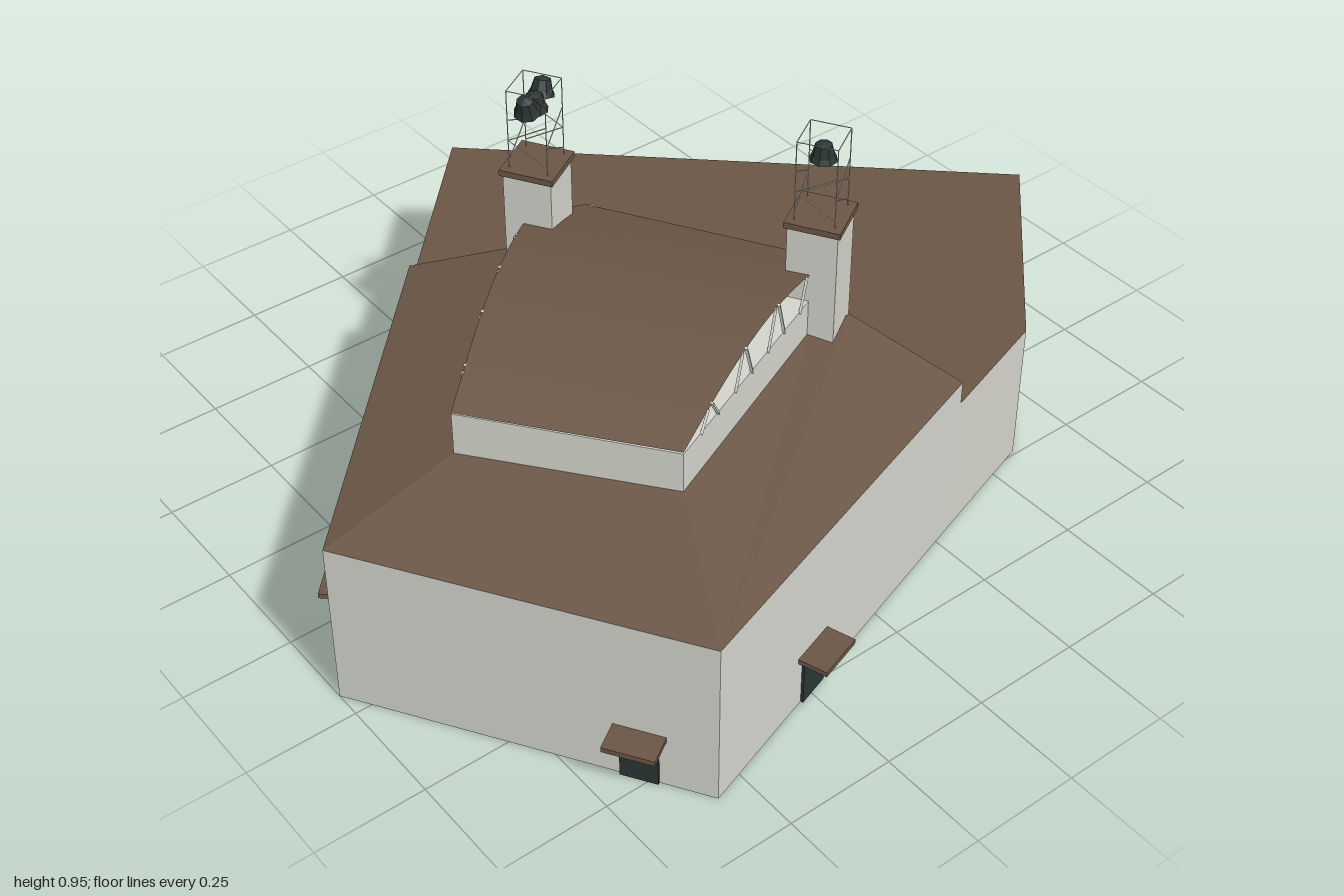
import * as THREE from 'three';

const mat = (name, color, double) => {
  const m = new THREE.MeshStandardMaterial({ color });
  m.name = name;
  m.flatShading = true;
  if (double) m.side = THREE.DoubleSide;
  return m;
};

export function createModel() {
  const model = new THREE.Group();
  model.name = 'hallBuilding';
  const wall = mat('pale plaster', 0xd2d3ca, true);
  const roof = mat('brown roof', 0x6b5646, true);
  const glass = mat('green glass', 0x5c726b);
  const dark = mat('dark metal', 0x2b3534);

  const add = (name, geometry, material, parent = model) => {
    const mesh = new THREE.Mesh(geometry, material);
    mesh.name = name;
    parent.add(mesh);
    return mesh;
  };

  // Upright prism over a plan of [x, z] points
  const prism = (name, plan, y0, y1, material) => {
    const shape = new THREE.Shape(plan.map(([x, z]) => new THREE.Vector2(x, -z)));
    const g = new THREE.ExtrudeGeometry(shape, { depth: y1 - y0, bevelEnabled: false });
    g.rotateX(-Math.PI / 2);
    g.translate(0, y0, 0);
    return add(name, g, material);
  };

  // Flat polygon of [x, y, z] points, filled as a fan
  const fan = (name, pts, material) => {
    const pos = [];
    for (let i = 1; i < pts.length - 1; i++) pos.push(...pts[0], ...pts[i], ...pts[i + 1]);
    const g = new THREE.BufferGeometry();
    g.setAttribute('position', new THREE.Float32BufferAttribute(pos, 3));
    g.computeVertexNormals();
    return add(name, g, material);
  };

  // Thin rod between two points
  const rod = (name, a, b, r, material, parent) => {
    const va = new THREE.Vector3(...a), vb = new THREE.Vector3(...b);
    const g = new THREE.CylinderGeometry(r, r, va.distanceTo(vb), 4);
    const m = add(name, g, material, parent);
    m.position.copy(va).add(vb).multiplyScalar(0.5);
    m.quaternion.setFromUnitVectors(new THREE.Vector3(0, 1, 0), vb.sub(va).normalize());
    return m;
  };

  // Plan corners
  const A = [-1, 0.19], B = [-0.57, 0.867], C = [0.31, 0.58], D = [0.59, 0.49];
  const E = [1, 0.055], F = [0.01, -0.87], G = [-0.37, -0.47];
  const P = [-0.69, 0.185], Q = [-0.41, 0.555], R = [0.18, 0.3], S = [-0.06, -0.21];
  const T = [-0.235, -0.195], R2 = [0.2, 0.345], T2 = [-0.13, -0.25];
  const at = ([x, z], y) => [x, y, z];

  // Main body, flat rear roof and taller front block
  const outline = [A, B, C, D, E, F];
  prism('mainWalls', outline, 0, 0.337, wall);
  prism('flatRoof', outline, 0.337, 0.345, [roof, wall]);
  prism('frontBlock', [A, B, C, R2, S, T2, G], 0.34, 0.4, wall);

  // Sloping roof round the hall
  fan('sideRoof', [at(A, 0.4), at(B, 0.4), at(Q, 0.48), at(P, 0.475)], roof);
  fan('frontRoof', [at(B, 0.4), at(C, 0.4), at(R2, 0.49), [0.1, 0.49, 0.335], at(Q, 0.48)], roof);
  fan('backRoof', [at(G, 0.4), at(A, 0.4), at(P, 0.475), at(T2, 0.49)], roof);
  fan('roofGable', [at(C, 0.4), at(R2, 0.4), at(R2, 0.49)], wall);

  // Raised hall
  prism('hallWalls', [P, Q, R, S, T], 0.34, 0.575, wall);

  // Vaulted hall roof: height depends on the distance from the side eave
  const vaultY = ([x, z]) => {
    const d = (x - P[0]) * 0.8 - (z - P[1]) * 0.59;
    return 0.577 + 0.083 * Math.sin(Math.PI * THREE.MathUtils.clamp(d / 0.74, 0, 1));
  };
  const mix = (a, b, t) => [a[0] + (b[0] - a[0]) * t, a[1] + (b[1] - a[1]) * t];
  const backEdge = t => t < 0.78 ? mix(P, T, t / 0.78) : mix(T, [-0.075, -0.21], (t - 0.78) / 0.22);
  const frontEdge = t => mix(Q, R, t);
  const steps = 14, pos = [], idx = [];
  for (let i = 0; i <= steps; i++) {
    for (const p of [backEdge(i / steps), frontEdge(i / steps)]) pos.push(...at(p, vaultY(p)));
    if (i < steps) idx.push(2 * i, 2 * i + 1, 2 * i + 3, 2 * i, 2 * i + 3, 2 * i + 2);
  }
  const vault = new THREE.BufferGeometry();
  vault.setAttribute('position', new THREE.Float32BufferAttribute(pos, 3));
  vault.setIndex(idx);
  vault.computeVertexNormals();
  add('vaultRoof', vault, roof);

  // Slanting struts in the open ends of the vault
  for (const edge of [frontEdge, t => backEdge(t * 0.78)]) {
    for (let i = 1; i < 9; i++) {
      const foot = edge(i / 9), head = edge((i + (i % 2 ? 0.4 : -0.4)) / 9);
      rod('vaultStrut', at(foot, 0.57), at(head, vaultY(head)), 0.004, wall);
    }
  }

  // Box set on the wall from p to q, at fraction t along it
  const onWall = (name, [p, q], t, y, [w, h, d], material) => {
    const dx = q[0] - p[0], dz = q[1] - p[1], len = Math.hypot(dx, dz);
    const [x, z] = mix(p, q, t);
    const m = add(name, new THREE.BoxGeometry(w, h, d), material);
    m.position.set(x - dz / len * d / 2, y, z + dx / len * d / 2);
    m.rotation.y = Math.atan2(-dz, dx);
  };

  // Two rows of windows on the rear walls
  for (const y of [0.081, 0.236]) {
    for (const t of [0.052, 0.173, 0.289, 0.402, 0.516, 0.632, 0.774, 0.926])
      onWall('window', [E, F], t, y, [0.115, 0.072, 0.004], glass);
    for (const t of [0.064, 0.193, 0.318])
      onWall('window', [F, A], t, y, [0.12, 0.072, 0.004], glass);
  }

  // Doors with canopies
  for (const [side, t] of [[[B, C], 0.37], [[A, B], 0.8], [[F, A], 0.535], [[F, A], 0.86]]) {
    onWall('door', side, t, 0.06, [0.08, 0.12, 0.006], dark);
    onWall('doorCanopy', side, t, 0.126, [0.11, 0.012, 0.065], roof);
  }

  // Bell with a flared mouth
  const bellShape = [[0, 0], [0.03, 0], [0.024, 0.012], [0.018, 0.035], [0, 0.042]]
    .map(([x, y]) => new THREE.Vector2(x, y));
  const bellGeometry = new THREE.LatheGeometry(bellShape, 8);

  // Towers with wire bell frames
  const tower = (x, z, bells) => {
    const g = new THREE.Group();
    g.name = 'bellTower';
    g.position.set(x, 0, z);
    g.rotation.y = 0.54;
    model.add(g);
    add('towerShaft', new THREE.BoxGeometry(0.108, 0.415, 0.108), wall, g).position.y = 0.5425;
    add('towerCap', new THREE.BoxGeometry(0.12, 0.014, 0.12), roof, g).position.y = 0.756;
    const k = 0.043, corners = [[-k, -k], [k, -k], [k, k], [-k, k]];
    corners.forEach((c, i) => {
      const n = corners[(i + 1) % 4];
      rod('framePost', at(c, 0.76), at(c, 0.95), 0.0012, wall, g);
      rod('frameRail', at(c, 0.95), at(n, 0.95), 0.0012, wall, g);
      rod('frameBrace', at(c, 0.78), at(n, 0.83), 0.0012, wall, g);
      rod('frameBrace', at(n, 0.83), at(c, 0.88), 0.0012, wall, g);
    });
    for (const [bx, by, bz, tilt] of bells) {
      const b = add('bell', bellGeometry, dark, g);
      b.position.set(bx, by, bz);
      b.rotation.z = tilt;
    }
  };
  tower(0.133, 0.315, [[0, 0.893, 0, 0]]);
  tower(-0.21, -0.19, [[0, 0.89, 0, 0], [-0.035, 0.905, 0, 0.3], [0.035, 0.905, 0, -0.3]]);

  return model;
}
